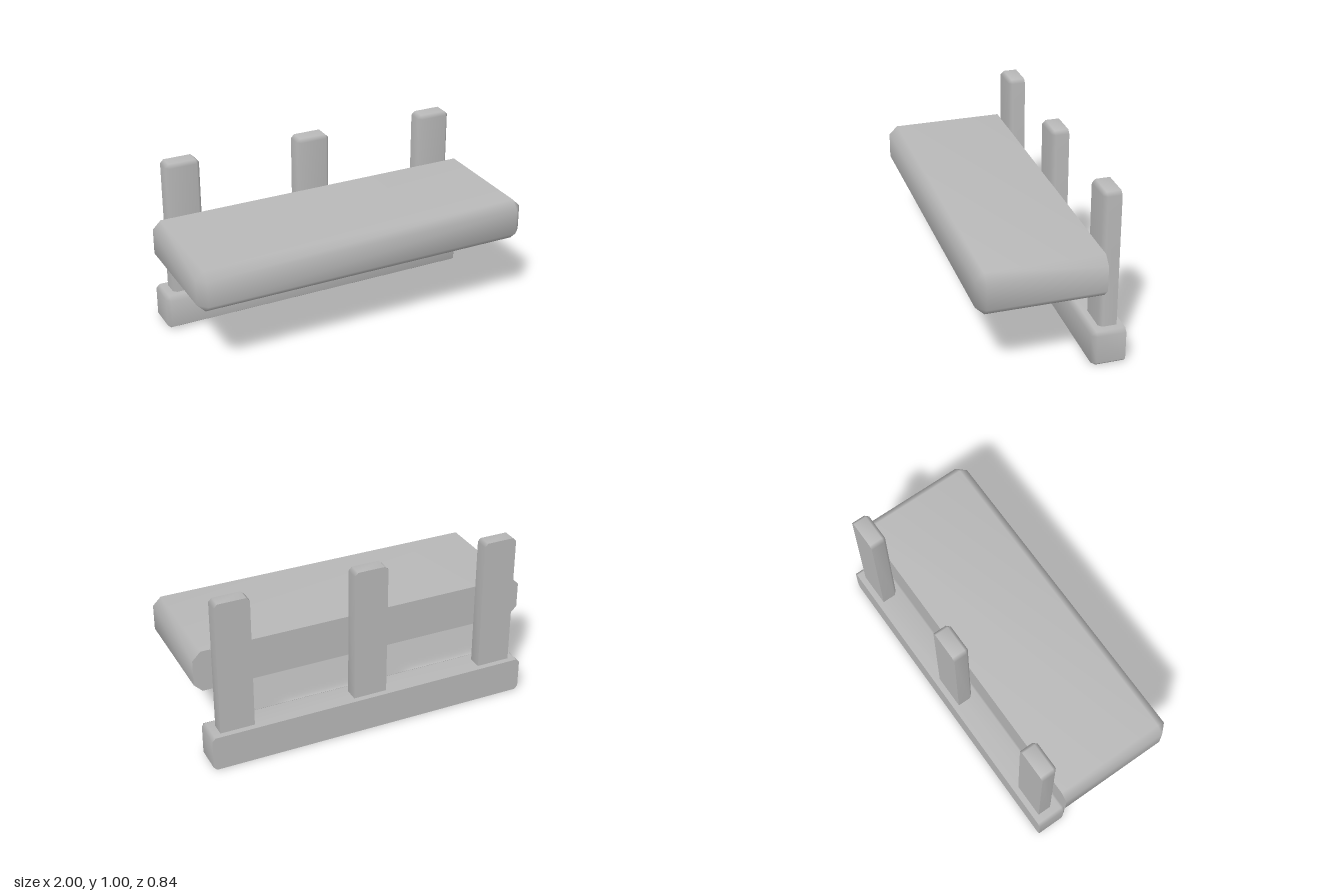
import * as THREE from 'three';

// Block with soft chamfers on every edge except those of its flat back.
// c is the chamfer across the front profile, d its depth along z.
function chamferedBlock(x0, x1, y0, y1, z0, z1, c, d) {
  const cx = (x0 + x1) / 2, cy = (y0 + y1) / 2;
  const w = (x1 - x0) / 2, h = (y1 - y0) / 2, a = w - c, b = h - c;
  const octagon = [[w, -b], [w, b], [a, h], [-a, h], [-w, b], [-w, -b], [-a, -h], [a, -h]];
  const rectangle = [[a, b], [-a, b], [-a, -b], [a, -b]];
  const positions = [], index = [];
  const ring = (points, z) => points.forEach(([x, y]) => positions.push(cx + x, cy + y, z));
  ring(octagon, z0);       // 0-7: rear rim of the sides
  ring(octagon, z1 - d);   // 8-15: start of the front chamfer
  ring(rectangle, z1);     // 16-19: front face
  ring(octagon, z0);       // 20-27: back face, kept sharp

  const front = (i) => 16 + Math.floor(((i + 7) % 8) / 2);
  for (let i = 0; i < 8; i++) {
    const j = (i + 1) % 8;
    index.push(i, j, 8 + j, i, 8 + j, 8 + i);
    index.push(8 + i, 8 + j, front(j));
    if (front(i) !== front(j)) index.push(8 + i, front(j), front(i));
  }
  index.push(16, 17, 18, 16, 18, 19);
  for (let i = 1; i < 7; i++) index.push(20, 21 + i, 20 + i);

  const geometry = new THREE.BufferGeometry();
  geometry.setAttribute('position', new THREE.Float32BufferAttribute(positions, 3));
  geometry.setIndex(index);
  geometry.computeVertexNormals();
  return geometry;
}

export function createModel() {
  const group = new THREE.Group();
  group.name = 'wallBench';
  const grey = new THREE.MeshStandardMaterial({ color: 0xb8b8b8 });
  grey.name = 'grey';

  const add = (name, geometry) => {
    const mesh = new THREE.Mesh(geometry, grey);
    mesh.name = name;
    group.add(mesh);
  };

  // Thick slab and the long bar at the foot
  add('seat', chamferedBlock(-1, 1, 0.437, 0.682, -0.285, 0.418, 0.048, 0.05));
  add('baseBar', chamferedBlock(-0.96, 0.96, 0, 0.206, -0.418, -0.225, 0.02, 0.03));

  // Three uprights rising from the bar behind the slab
  [['rightPost', -0.8], ['middlePost', 0], ['leftPost', 0.8]].forEach(([name, x]) =>
    add(name, chamferedBlock(x - 0.1, x + 0.1, 0.15, 1, -0.384, -0.284, 0.02, 0.02)));

  return group;
}
